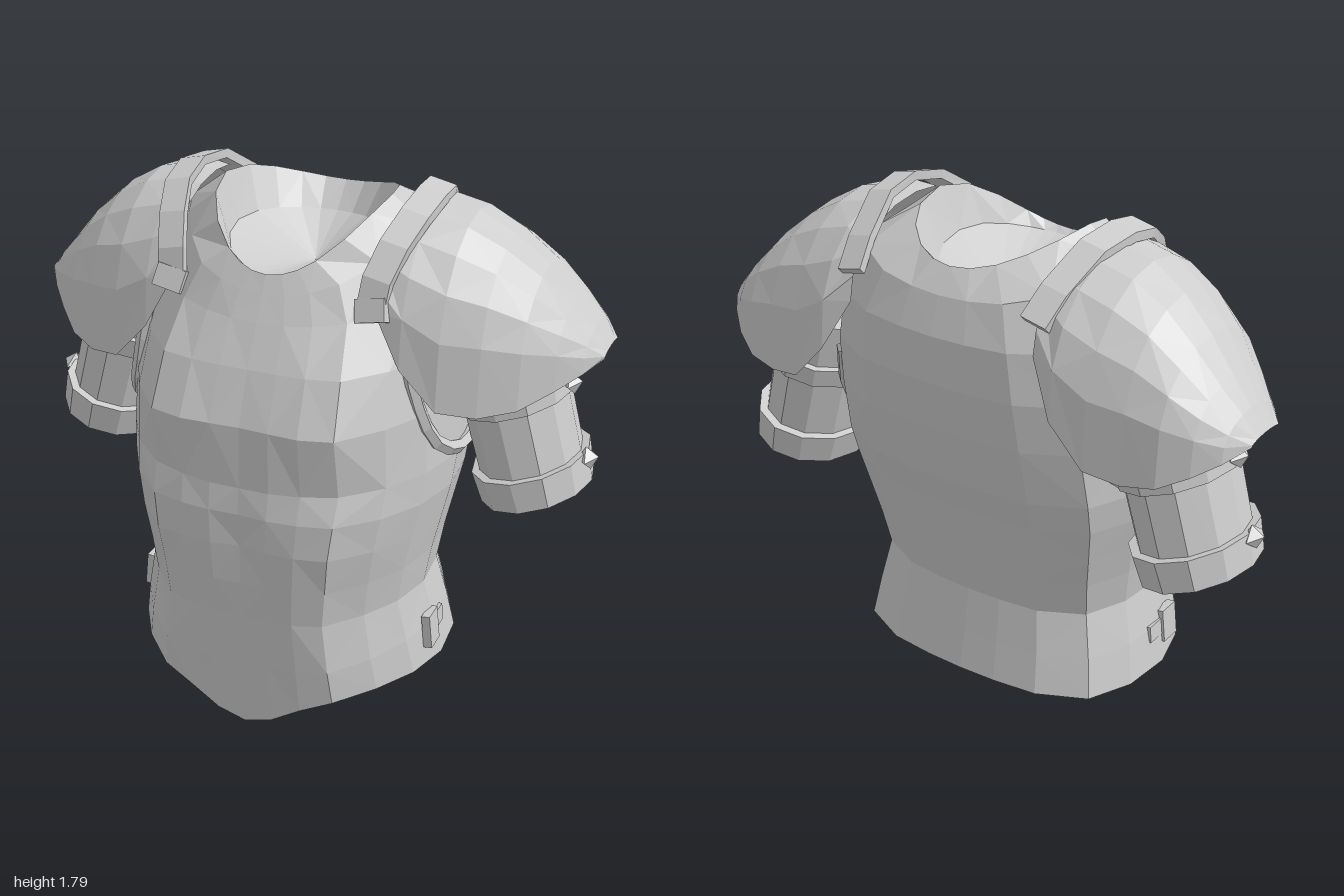
import * as THREE from 'three';

const steel = new THREE.MeshStandardMaterial({ color: 0xcccccc, flatShading: true, side: THREE.DoubleSide });
steel.name = 'plain grey steel';

// Skin a list of equal-length cross-sections; diagonals alternate for a hewn look.
function loft(rings, closed = true) {
  const pos = [], n = rings[0].length;
  const tri = (...p) => p.forEach(v => pos.push(v[0], v[1], v[2]));
  for (let i = 0; i < rings.length - 1; i++) {
    for (let j = 0; j < (closed ? n : n - 1); j++) {
      const k = (j + 1) % n;
      const a = rings[i][j], b = rings[i][k], c = rings[i + 1][k], d = rings[i + 1][j];
      if ((i + j) % 2) { tri(a, b, c); tri(a, c, d); } else { tri(a, b, d); tri(b, c, d); }
    }
  }
  const g = new THREE.BufferGeometry();
  g.setAttribute('position', new THREE.Float32BufferAttribute(pos, 3));
  g.computeVertexNormals();
  return g;
}

// Mirror in x, swapping two corners of each triangle to keep faces outward.
function mirrored(geometry) {
  const g = geometry.index ? geometry.toNonIndexed() : geometry.clone();
  const p = g.attributes.position;
  for (let i = 0; i < p.count; i += 3) {
    const v = [0, 2, 1].map(k => [-p.getX(i + k), p.getY(i + k), p.getZ(i + k)]);
    v.forEach((q, k) => p.setXYZ(i + k, ...q));
  }
  g.computeVertexNormals();
  return g;
}

// Half cross-section of the torso: fraction of half-width, fraction of depth.
const HALF = [[0, 1], [0.18, 1], [0.36, 0.985], [0.56, 0.94], [0.77, 0.68], [0.92, 0.37], [1, 0],
  [0.97, -0.42], [0.84, -0.77], [0.54, -0.95], [0.25, -0.99], [0, -1]];
const SECTION = [...HALF, ...HALF.slice(1, -1).reverse().map(([x, z]) => [-x, z])];

// Shallow muscle relief on the chest and belly.
function relief(x, y) {
  if (y < 0.3 || y > 1.32) return 0;
  const ax = Math.abs(x), bump = (cx, cy, rx, ry) => Math.exp(-(((ax - cx) / rx) ** 2) - ((y - cy) / ry) ** 2);
  return 0.02 * bump(0.24, 1.12, 0.13, 0.14) - 0.03 * bump(0.32, 0.9, 0.12, 0.07)
    - 0.015 * bump(0, 0.68, 0.07, 0.12) - 0.025 * bump(0.34, 0.5, 0.1, 0.1) + 0.012 * bump(0.14, 0.75, 0.09, 0.06);
}

function torsoGeometry() {
  // side y, front y, back y, half-width, front z, back z
  const rows = [
    [0.16, 0.16, 0.16, 0.55, 0.48, -0.39],
    [0.30, 0.24, 0.30, 0.525, 0.49, -0.36],
    [0.45, 0.43, 0.45, 0.49, 0.50, -0.33],
    [0.58, 0.56, 0.58, 0.51, 0.51, -0.36],
    [0.70, 0.70, 0.70, 0.535, 0.515, -0.39],
    [0.82, 0.82, 0.82, 0.56, 0.515, -0.42],
    [0.93, 0.91, 0.93, 0.57, 0.50, -0.45],
    [1.13, 1.12, 1.13, 0.56, 0.49, -0.49],
    [1.30, 1.29, 1.30, 0.54, 0.42, -0.51],
    [1.48, 1.42, 1.46, 0.50, 0.35, -0.505],
    [1.65, 1.50, 1.58, 0.42, 0.305, -0.46],
    [1.75, 1.555, 1.655, 0.29, 0.275, -0.40],
    [1.60, 1.54, 1.57, 0.235, 0.25, -0.32],
    [1.46, 1.46, 1.46, 0.001, -0.129, -0.131],
  ];
  const rings = rows.map(([ys, yf, yb, w, zf, zb], i) => SECTION.map(([sx, sz]) => {
    const len = i > 10 ? Math.hypot(sx, sz) : 1; // the collar is rounder than the body
    const fx = sx / len, fz = sz / len;
    const x = fx * w, k = 1 - fx * fx;
    let y = ys + ((fz > 0 ? yf : yb) - ys) * k;
    let z = (zf + zb) / 2 + fz * (zf - zb) / 2;
    if (i === 0 && fz > 0) y -= 0.16 * Math.exp(-((x / 0.22) ** 2));
    if (fz > 0.3 && i < 10) z += relief(x, y);
    if (fz > 0 && (i === 9 || i === 10)) z -= 0.12 * fx * fx * fz;
    return [x, y, z];
  }));
  rings.unshift(SECTION.map(() => [0, 0.16, 0.28]));
  return loft(rings);
}

function pauldronGeometry() {
  // x, crown y, hem y, front z, back z, roundness
  const stations = [
    [1.00, 1.30, 1.285, -0.11, -0.28, 1],
    [0.95, 1.37, 1.25, -0.04, -0.365, 0.7],
    [0.88, 1.45, 1.21, 0.04, -0.425, 0.6],
    [0.79, 1.55, 1.165, 0.13, -0.47, 0.6],
    [0.68, 1.645, 1.15, 0.20, -0.49, 0.65],
    [0.56, 1.715, 1.17, 0.25, -0.51, 0.75],
    [0.44, 1.74, 1.30, 0.26, -0.51, 0.85],
    [0.35, 1.73, 1.47, 0.24, -0.46, 1],
  ];
  const steps = 10;
  return loft(stations.map(([x, top, hem, zf, zb, e]) => Array.from({ length: steps + 1 }, (_, j) => {
    const t = Math.PI * j / steps;
    return [x, hem + (top - hem) * Math.max(0, Math.sin(t)) ** e, (zf + zb) / 2 + Math.cos(t) * (zf - zb) / 2];
  })), false);
}

// Flat strap of rectangular section following points over the shoulder, tipped outward.
function strapGeometry() {
  const path = [[0.34, 1.46, 0.25], [0.352, 1.57, 0.22], [0.38, 1.66, 0.15], [0.41, 1.73, 0.05],
    [0.42, 1.76, -0.08], [0.405, 1.745, -0.22], [0.37, 1.65, -0.37], [0.35, 1.57, -0.45]];
  const rings = path.map(([x, y, z], i) => {
    const a = path[Math.max(0, i - 1)], b = path[Math.min(path.length - 1, i + 1)];
    const dy = b[1] - a[1], dz = b[2] - a[2], l = Math.hypot(dy, dz);
    const ny = -dz / l * 0.016, nz = dy / l * 0.016, h = 0.045, tip = 0.01;
    return [[x - h, y + tip - ny, z - nz], [x + h, y - tip - ny, z - nz],
      [x + h, y - tip + ny, z + nz], [x - h, y + tip + ny, z + nz]];
  });
  const mid = i => rings[i].map(() => path[i]);
  return loft([mid(0), ...rings, mid(path.length - 1)].reverse());
}

// Arm pieces are stacked along a leaning axis; h is the distance from the cuff.
const LEAN = 0.27;
function place(g) {
  return g.rotateZ(LEAN).translate(0.795, 0.765, -0.17);
}
function armRing(rTop, rBottom, h0, h1) {
  const g = new THREE.CylinderGeometry(rTop, rBottom, h1 - h0, 12).translate(0, (h0 + h1) / 2, 0);
  return place(g.scale(1, 1, 1.22));
}
function stud(h) {
  return place(new THREE.OctahedronGeometry(0.045).scale(0.8, 0.9, 1.15).translate(0.2, h, 0.02));
}

function armholeTrim() {
  const pts = [[0.44, 1.4, 0.22], [0.48, 1.2, 0.215], [0.53, 1.03, 0.16], [0.565, 0.95, 0.03],
    [0.56, 0.95, -0.16], [0.52, 1.06, -0.3], [0.46, 1.25, -0.38]].map(p => new THREE.Vector3(...p));
  return new THREE.TubeGeometry(new THREE.CatmullRomCurve3(pts), 14, 0.025, 5);
}

export function createModel() {
  const model = new THREE.Group();
  model.name = 'bodyArmour';
  const add = (name, geometry, parent = model) => {
    const mesh = new THREE.Mesh(geometry, steel);
    mesh.name = name;
    parent.add(mesh);
  };
  add('breastplate', torsoGeometry());

  const parts = {
    pauldron: pauldronGeometry(),
    shoulderStrap: strapGeometry(),
    strapBuckle: new THREE.BoxGeometry(0.1, 0.075, 0.04).rotateX(-0.4).rotateZ(0.2).translate(0.345, 1.48, 0.25),
    armholeTrim: armholeTrim(),
    sleeve: armRing(0.18, 0.172, 0.01, 0.56),
    lowerArmBand: armRing(0.2, 0.19, 0, 0.11),
    upperArmBand: armRing(0.2, 0.195, 0.33, 0.4),
    lowerStud: stud(0.09),
    upperStud: stud(0.36),
    waistBuckle: new THREE.BoxGeometry(0.03, 0.12, 0.08).rotateZ(0.1).translate(0.525, 0.285, 0.1),
    waistStrap: new THREE.BoxGeometry(0.02, 0.06, 0.1).rotateZ(0.1).translate(0.521, 0.285, 0.04),
  };
  // Matching left and right sides
  for (const side of ['left', 'right']) {
    const half = new THREE.Group();
    half.name = side + 'Side';
    for (const [name, g] of Object.entries(parts)) add(name, side === 'left' ? g : mirrored(g), half);
    model.add(half);
  }
  return model;
}
